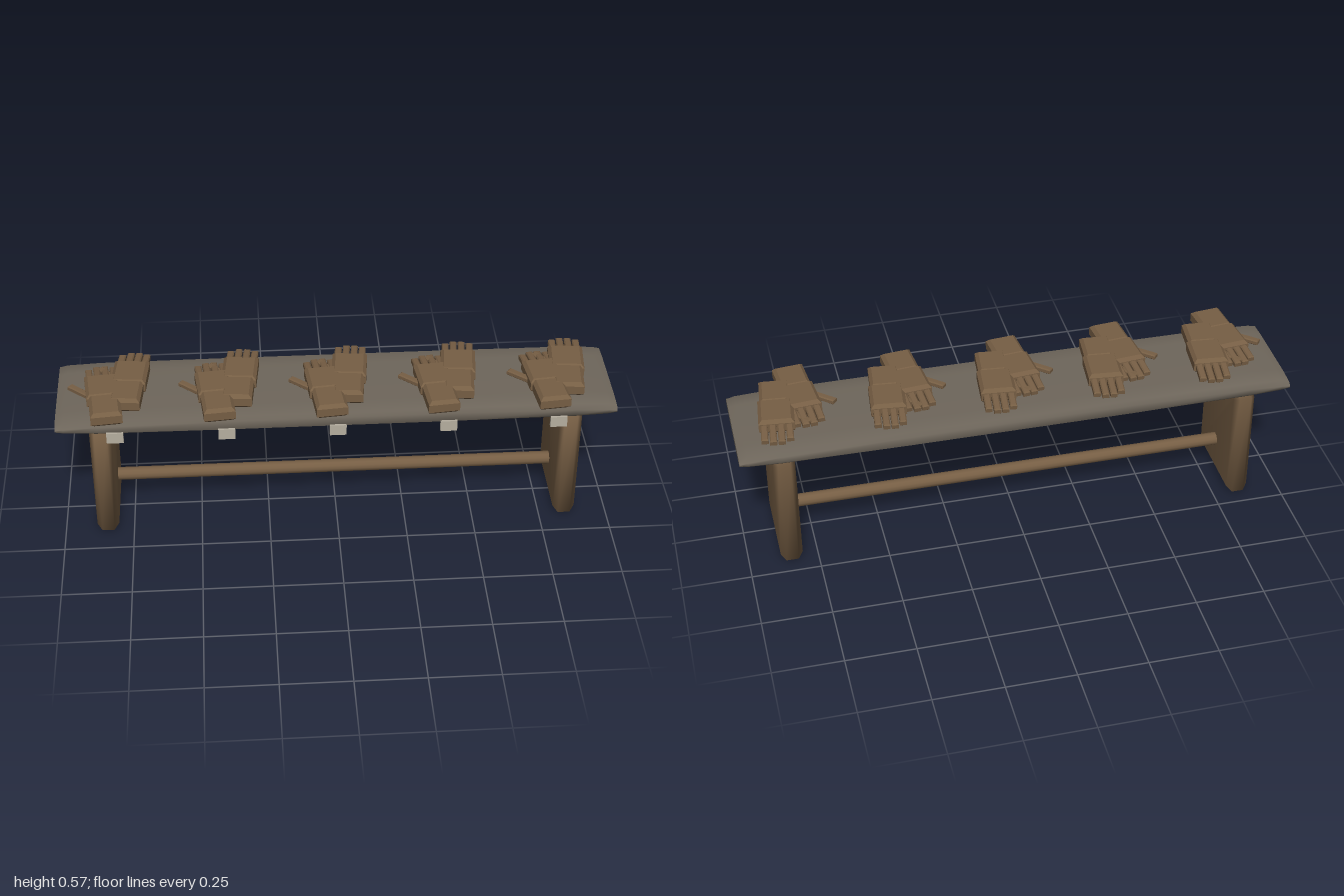
import * as THREE from 'three';
import { mergeVertices } from 'three/addons/utils/BufferGeometryUtils.js';

const wood = new THREE.MeshStandardMaterial({ name: 'brown', color: 0x765e44 });
const slate = new THREE.MeshStandardMaterial({ name: 'greyBrown', color: 0x6e665b });
const pale = new THREE.MeshStandardMaterial({ name: 'paleGrey', color: 0xb5ae9f });

function add(parent, name, geometry, material, x = 0, y = 0, z = 0) {
  const mesh = new THREE.Mesh(geometry, material);
  mesh.name = name;
  mesh.position.set(x, y, z);
  parent.add(mesh);
  return mesh;
}

// Slab of a flat outline with chamfered rims, centred along its thickness (z)
function slab(points, thickness, bevel) {
  const shape = new THREE.Shape(points.map(([x, y]) => new THREE.Vector2(x, y)));
  const g = new THREE.ExtrudeGeometry(shape, {
    depth: thickness - 2 * bevel, bevelEnabled: true, bevelSegments: 1,
    bevelSize: bevel, bevelThickness: bevel, bevelOffset: -bevel,
  });
  return g.translate(0, 0, bevel - thickness / 2);
}

// Lying block with chamfered top and bottom rims
function block(w, h, d, bevel) {
  const x = w / 2, z = d / 2;
  return slab([[-x, -z], [x, -z], [x, z], [-x, z]], h, bevel).rotateX(-Math.PI / 2);
}

function smooth(g) {
  g.deleteAttribute('normal');
  g.deleteAttribute('uv');
  const merged = mergeVertices(g, 1e-4);
  merged.computeVertexNormals();
  return merged;
}

// Cushioned top: lens-like cross-sections thinning towards both ends
function topGeometry() {
  const sections = [ // x, half height at the middle, half height at the edge
    [-1, 0.018, 0.003], [-0.97, 0.027, 0.006], [-0.85, 0.033, 0.011], [-0.4, 0.033, 0.017],
    [0.4, 0.033, 0.017], [0.85, 0.033, 0.011], [0.97, 0.027, 0.006], [1, 0.018, 0.003],
  ];
  const profile = [[-1, 0], [-0.92, 0.7], [-0.6, 1], [0.6, 1], [0.92, 0.7], [1, 0]];
  const n = profile.length * 2;
  const pos = [], idx = [];
  const ring = ([x, h, e]) => {
    const upper = profile.map(([u, k]) => [u * 0.2, e + (h - e) * k]);
    const lower = upper.map(([z, y]) => [z, -y]).reverse();
    for (const [z, y] of [...upper, ...lower]) pos.push(x, y, z);
  };
  sections.forEach(ring);
  for (let i = 0; i < sections.length - 1; i++) {
    for (let j = 0; j < n; j++) {
      const a = i * n + j, c = i * n + (j + 1) % n;
      idx.push(a, c, a + n, c, c + n, a + n);
    }
  }
  // End caps on their own vertices
  const first = sections.length * n;
  ring(sections[0]);
  ring(sections[sections.length - 1]);
  for (let j = 1; j < n - 1; j++) {
    idx.push(first, first + j + 1, first + j);
    idx.push(first + n, first + n + j, first + n + j + 1);
  }
  const g = new THREE.BufferGeometry();
  g.setAttribute('position', new THREE.Float32BufferAttribute(pos, 3));
  g.setIndex(idx);
  g.computeVertexNormals();
  return g;
}

// Glove lying flat, fingers towards -z, thumb towards -x
const palmGeometry = block(0.126, 0.055, 0.14, 0.012);
const cuffGeometry = block(0.112, 0.055, 0.13, 0.012);
const thumbGeometry = block(0.024, 0.02, 0.09, 0.004);

function makeGlove(name) {
  const glove = new THREE.Group();
  glove.name = name;
  add(glove, 'palm', palmGeometry, wood);
  add(glove, 'cuff', cuffGeometry, wood, 0, -0.001, 0.12);
  [0.085, 0.1, 0.1, 0.09].forEach((length, i) => {
    const finger = add(glove, 'finger', block(0.025, 0.024, length, 0.004), wood,
      -0.044 + i * 0.0293, -0.003, -0.05 - length / 2);
    finger.rotation.x = -0.13;
  });
  const thumb = add(glove, 'thumb', thumbGeometry, wood, -0.085, -0.005, -0.015);
  thumb.rotation.y = 0.75;
  return glove;
}

export function createModel() {
  const model = new THREE.Group();
  model.name = 'benchWithGloves';

  add(model, 'benchTop', topGeometry(), slate, 0, 0.479, -0.02);

  // Panel legs with one clipped upper back corner
  const outline = [[-0.148, 0], [0.19, 0], [0.19, 0.425], [0.17, 0.448], [-0.148, 0.448]];
  const legGeometry = smooth(slab(outline, 0.08, 0.018).rotateY(Math.PI / 2));
  for (const side of [-1, 1]) {
    add(model, side > 0 ? 'leftLeg' : 'rightLeg', legGeometry, wood, side * 0.845);
  }

  const rod = new THREE.CylinderGeometry(0.024, 0.024, 1.64, 12).rotateZ(Math.PI / 2);
  add(model, 'stretcher', rod, wood, 0, 0.132, -0.02);

  // Five places, each with a tag and a pair of gloves
  const tagGeometry = new THREE.BoxGeometry(0.06, 0.042, 0.014);
  for (let i = -2; i <= 2; i++) {
    const x = i * 0.395;
    add(model, 'tag', tagGeometry, pale, x, 0.446, 0.181);
    const front = makeGlove('frontGlove');
    front.position.set(x - 0.04, 0.545, 0.03);
    front.rotation.y = 0.1;
    const back = makeGlove('backGlove');
    back.position.set(x + 0.055, 0.546, -0.05);
    back.rotation.y = -0.1;
    model.add(front, back);
  }
  return model;
}
